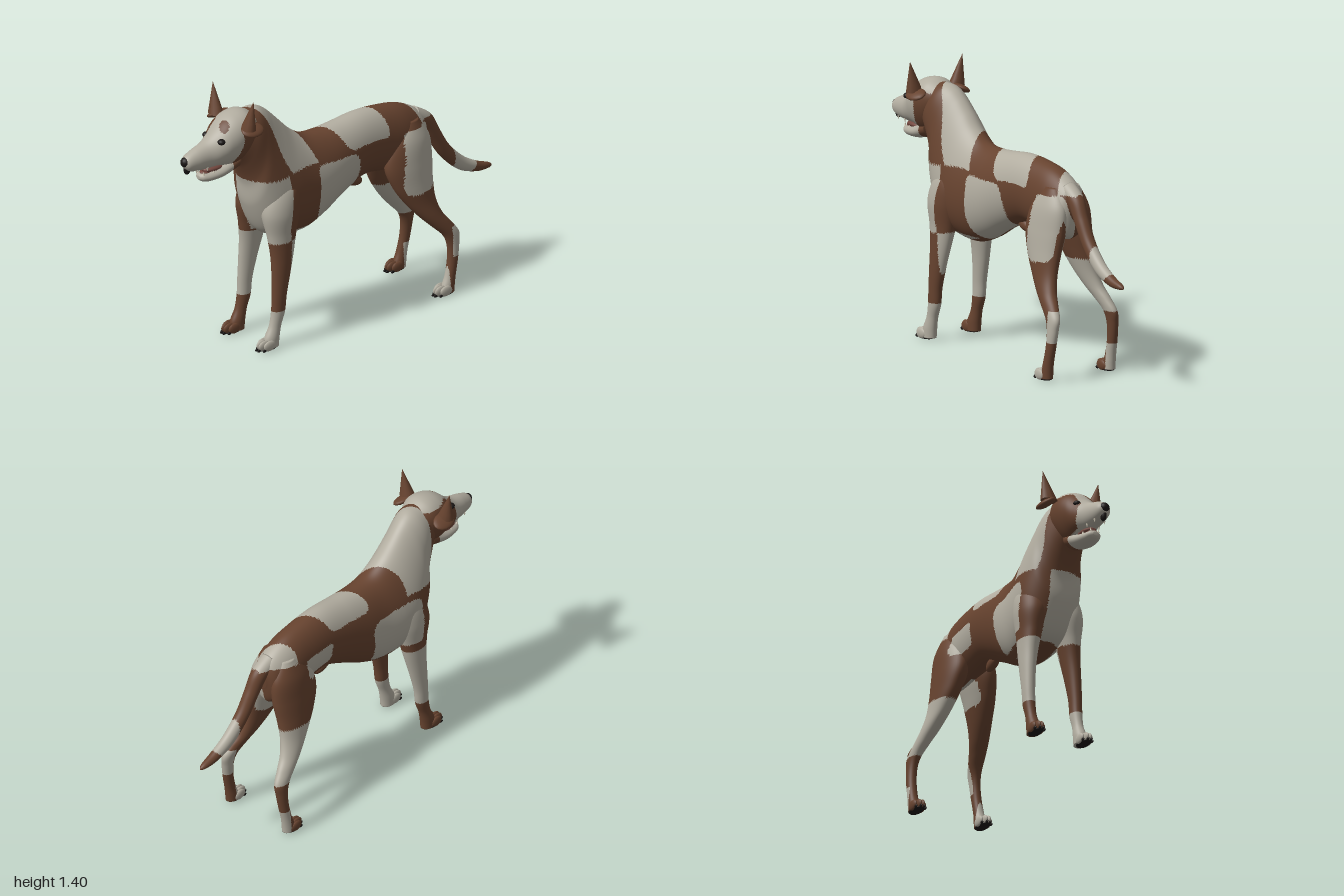
import * as THREE from 'three';

const mat = (name, color) => {
  const m = new THREE.MeshStandardMaterial({ color });
  m.name = name;
  return m;
};

// Smooth interpolation through a list of equal-length rows
function sampleRows(rows, t) {
  const f = t * (rows.length - 1), i = Math.min(Math.floor(f), rows.length - 2), u = f - i;
  const at = k => rows[Math.max(0, Math.min(rows.length - 1, k))];
  return rows[i].map((_, c) => {
    const [a, b, d, e] = [at(i - 1)[c], at(i)[c], at(i + 1)[c], at(i + 2)[c]];
    return b + 0.5 * u * (d - a + u * (2 * a - 5 * b + 4 * d - e + u * (3 * (b - d) + e - a)));
  });
}

// Loft of rings [x, y, z, halfWidth, halfY, halfZ, topTaper]; isBrown picks each face's coat colour
function loft(rows, steps, sides, isBrown) {
  const pos = [], lists = [[], []];
  for (let i = 0; i <= steps; i++) {
    const [x, y, z, w, hy, hz, taper = 0] = sampleRows(rows, i / steps);
    for (let j = 0; j < sides; j++) {
      const a = (j / sides) * Math.PI * 2, s = Math.sin(a), c = Math.cos(a);
      pos.push(x + w * s * (1 - taper * c), y + hy * c, z + hz * c);
    }
  }
  const first = pos.length / 3;
  pos.push(...rows[0].slice(0, 3), ...rows[rows.length - 1].slice(0, 3));
  const face = (...ids) => {
    const mid = k => ids.reduce((sum, id) => sum + pos[id * 3 + k], 0) / 3;
    lists[isBrown(mid(0), mid(1), mid(2)) ? 1 : 0].push(...ids);
  };
  for (let j = 0; j < sides; j++) {
    const n = (j + 1) % sides, end = steps * sides;
    for (let i = 0; i < steps; i++) {
      const a = i * sides + j, b = a + sides, c = i * sides + n, d = c + sides;
      face(a, b, c);
      face(b, d, c);
    }
    face(first, j, n);
    face(first + 1, end + n, end + j);
  }
  const g = new THREE.BufferGeometry();
  g.setAttribute('position', new THREE.Float32BufferAttribute(pos, 3));
  g.setIndex([...lists[0], ...lists[1]]);
  g.addGroup(0, lists[0].length, 0);
  g.addGroup(lists[0].length, lists[1].length, 1);
  g.computeVertexNormals();
  return g;
}

// Ring given by its top and bottom points in side profile
const ring = (zt, yt, zb, yb, w, x = 0, taper = 0) =>
  [x, (yt + yb) / 2, (zt + zb) / 2, w, (yt - yb) / 2, (zt - zb) / 2, taper];

// Round-cornered patch test
const patch = (u, v, u0, u1, v0, v1) =>
  Math.abs((2 * u - u0 - u1) / (u1 - u0)) ** 6 + Math.abs((2 * v - v0 - v1) / (v1 - v0)) ** 6 < 1;

// Patchwork of the coat on trunk, neck and legs
function coat(x, y, z) {
  const left = x > 0;
  const yy = y + 0.008 * Math.sin(14 * z + 6 * x);
  const zz = z + 0.01 * Math.sin(17 * y);
  const w = zz + 0.6 * x;
  if (yy > 0.915) {
    if (w > 0.47 + 0.27 * (y - 0.92)) return true;
    if (w > 0.27) return false;
    if (w > -0.23) return !patch(w, yy, -0.23, 0.07, left ? 0.91 : 0.95, 1.3);
    return w > -0.46 || w < -0.6;
  }
  if (yy > 0.57) {
    if (z > 0.45) return x < -0.07;
    if (left) {
      if (zz > 0.41) return false;
      const slant = zz - 0.12 * (y - 0.75);
      return !(patch(slant, yy, -0.075, 0.205, 0.57, 0.905) || patch(zz, yy, -0.55, -0.345, 0.585, 0.915));
    }
    return !(patch(zz, yy, 0.13, 0.46, 0.6, 0.88) || patch(zz, yy, -0.34, -0.15, 0.79, 0.91));
  }
  if (z > 0) {
    if (Math.abs(x) < 0.06) return true;
    if (left) return y > 0.2 && z > 0.41;
    return y < 0.2 || y > 0.56;
  }
  if (left) return y > 0.2 ? !(z < -0.6 && y < 0.36) : z < -0.575;
  return y < 0.32 && !(z < -0.585 && y < 0.15);
}

function headCoat(x, y, z) {
  if (x < -0.035) return y < 1.265 && z < 0.82 - 0.5 * Math.max(0, 1.12 - y);
  return (z < 0.7 + 0.02 * Math.sin(20 * y) && y < 1.24) || (y > 1.2 && Math.hypot((x - 0.05) / 0.03, (z - 0.755) / 0.022) < 1);
}

export function createModel() {
  const dog = new THREE.Group();
  dog.name = 'dog';
  const cream = mat('cream coat', 0xb2ada0), brown = mat('brown coat', 0x67432f);
  const black = mat('black', 0x1b1716), pink = mat('mouth pink', 0x74483f), ivory = mat('tooth ivory', 0xd8d0bc);
  const add = (name, geo, material, parent = dog) => {
    const m = new THREE.Mesh(geo, material);
    m.name = name;
    parent.add(m);
    return m;
  };
  const fur = (name, rows, steps, sides, rule) => add(name, loft(rows, steps, sides, rule), [cream, brown]);
  const ball = (name, material, p, r, parent) => {
    const m = add(name, new THREE.SphereGeometry(1, 16, 12), material, parent);
    m.position.set(...p);
    m.scale.set(...r);
    return m;
  };

  // Trunk and neck
  fur('trunkAndNeck', [
    ring(-0.57, 0.9, -0.56, 0.8, 0.03), ring(-0.53, 0.965, -0.53, 0.7, 0.08),
    ring(-0.42, 1.025, -0.42, 0.68, 0.105), ring(-0.3, 1.05, -0.28, 0.7, 0.108),
    ring(-0.15, 1.06, -0.15, 0.71, 0.112), ring(0, 1.045, 0, 0.645, 0.125),
    ring(0.12, 1.037, 0.12, 0.58, 0.138, 0, 0.05), ring(0.22, 1.05, 0.25, 0.535, 0.147, 0, 0.1),
    ring(0.3, 1.1, 0.4, 0.55, 0.158, -0.003, 0.2), ring(0.37, 1.17, 0.5, 0.6, 0.156, -0.006, 0.22),
    ring(0.43, 1.23, 0.57, 0.75, 0.138, -0.004, 0.2), ring(0.48, 1.27, 0.59, 0.88, 0.12, 0, 0.12),
    ring(0.53, 1.29, 0.63, 0.98, 0.108, 0.005, 0.05), ring(0.6, 1.29, 0.67, 1.04, 0.09, 0.01),
  ], 170, 120, coat);
  ball('sheath', brown, [0, 0.69, -0.12], [0.025, 0.03, 0.06]).rotation.x = -0.35;

  // Head with upper muzzle, and the slightly open lower jaw
  const hx = 0.012;
  fur('head', [
    ring(0.55, 1.27, 0.6, 1.08, 0.08, hx, -0.1), ring(0.62, 1.305, 0.63, 1.04, 0.105, hx, -0.18),
    ring(0.69, 1.3, 0.69, 1.02, 0.108, hx, -0.18), ring(0.75, 1.27, 0.74, 1.03, 0.098, hx, -0.12),
    ring(0.8, 1.22, 0.79, 1.042, 0.08, hx), ring(0.85, 1.185, 0.85, 1.042, 0.06, hx),
    ring(0.92, 1.162, 0.92, 1.047, 0.048, hx), ring(0.97, 1.14, 0.965, 1.06, 0.037, hx),
    ring(0.988, 1.12, 0.985, 1.08, 0.02, hx),
  ], 80, 72, headCoat);
  fur('lowerJaw', [
    ring(0.66, 1.09, 0.66, 1.0, 0.06, hx), ring(0.76, 1.045, 0.76, 0.974, 0.058, hx),
    ring(0.84, 1.026, 0.84, 0.97, 0.046, hx), ring(0.875, 1.022, 0.875, 0.978, 0.034, hx),
    ring(0.89, 1.01, 0.89, 0.99, 0.015, hx),
  ], 30, 36, (x, y, z) => z < 0.71);
  ball('mouthLining', pink, [hx, 1.035, 0.8], [0.04, 0.018, 0.07]);
  ball('tongue', pink, [hx, 1.023, 0.835], [0.026, 0.009, 0.045]);
  ball('nose', black, [hx, 1.108, 0.972], [0.027, 0.027, 0.028]);
  ball('noseCrease', black, [hx, 1.072, 0.964], [0.016, 0.034, 0.02]);

  for (const s of [1, -1]) {
    const side = s > 0 ? 'left' : 'right';

    // Eyes and teeth
    ball(side + 'Eye', black, [hx + 0.006 + s * 0.06, 1.19, 0.795], [0.02, 0.015, 0.02]);
    for (const [z, x, y, up] of [[0.925, 0.028, 1.05, -1], [0.86, 0.034, 1.047, -1], [0.875, 0.022, 1.026, 1], [0.82, 0.034, 1.03, 1]]) {
      const tooth = add(side + 'Tooth', new THREE.ConeGeometry(0.006, 0.022, 8), ivory);
      tooth.position.set(hx + s * x, y, z);
      if (up < 0) tooth.rotation.x = Math.PI;
    }

    // Upright pointed ear with a folded flap around its base
    const ear = new THREE.Group();
    ear.name = side + 'Ear';
    dog.add(ear);
    const point = new THREE.ConeGeometry(0.046, 0.16, 12, 4);
    const p = point.attributes.position;
    for (let i = 0; i < p.count; i++) {
      const h = p.getY(i) / 0.16 + 0.5;
      p.setXYZ(i, 0.127 * s + p.getX(i) + s * 0.033 * h, 1.24 + 0.16 * h, 0.662 + p.getZ(i) * 0.8 - 0.007 * h);
    }
    point.computeVertexNormals();
    add(side + 'EarPoint', point, brown, ear);
    ball(side + 'EarFlap', brown, [s * 0.135, 1.232, 0.64], [0.046, 0.018, 0.066], ear).rotation.z = -s * 0.5;

    // Foreleg, from shoulder to paw
    const leg = rows => rows.map(([x, y, z, rx, rz]) => [s * x, y, z, rx, 0, rz]);
    fur(side + 'Foreleg', leg([
      [0.06, 0.92, 0.39, 0.045, 0.07], [0.086, 0.83, 0.41, 0.075, 0.1], [0.1, 0.72, 0.43, 0.08, 0.11],
      [0.112, 0.6, 0.435, 0.058, 0.085], [0.122, 0.5, 0.44, 0.046, 0.068], [0.13, 0.4, 0.452, 0.038, 0.055],
      [0.135, 0.28, 0.468, 0.032, 0.042], [0.135, 0.19, 0.476, 0.03, 0.039], [0.135, 0.12, 0.495, 0.027, 0.034],
      [0.135, 0.06, 0.515, 0.032, 0.042], [0.135, 0.012, 0.52, 0.032, 0.042],
    ]), 100, 48, coat);

    // Hind leg, from haunch through the hock to paw
    fur(side + 'HindLeg', leg([
      [0.05, 0.95, -0.44, 0.04, 0.05], [0.066, 0.85, -0.425, 0.065, 0.125], [0.079, 0.73, -0.412, 0.07, 0.145],
      [0.099, 0.62, -0.425, 0.06, 0.122], [0.12, 0.52, -0.458, 0.049, 0.09], [0.142, 0.44, -0.505, 0.042, 0.068],
      [0.16, 0.38, -0.557, 0.035, 0.06], [0.175, 0.32, -0.607, 0.029, 0.05], [0.182, 0.26, -0.617, 0.026, 0.036],
      [0.187, 0.18, -0.61, 0.025, 0.03], [0.19, 0.1, -0.593, 0.026, 0.03], [0.19, 0.05, -0.58, 0.029, 0.036],
      [0.19, 0.012, -0.573, 0.03, 0.04],
    ]), 100, 48, coat);

    // Paws: four toes, claws and a dark sole
    const toeFur = s > 0 ? cream : brown;
    for (const [name, x, z] of [['ForePaw', 0.138, 0.565], ['HindPaw', 0.19, -0.535]]) {
      const paw = new THREE.Group();
      paw.name = side + name;
      paw.position.set(s * x, 0, z);
      dog.add(paw);
      for (let k = 0; k < 4; k++) {
        const o = k - 1.5, dz = Math.abs(o) > 1 ? -0.012 : 0.008;
        ball('toe', toeFur, [o * 0.017, 0.03, dz], [0.012, 0.027, 0.038], paw);
        ball('claw', black, [o * 0.018, 0.012, dz + 0.034], [0.005, 0.008, 0.012], paw);
      }
      ball('sole', black, [0, 0.009, -0.018], [0.031, 0.009, 0.055], paw);
    }
  }

  // Tail, from tip to root
  fur('tail', [
    [0.02, 0.525, -1, 0.003, 0.004, 0], [0.02, 0.53, -0.975, 0.017, 0.015, -0.003], [0.02, 0.546, -0.9, 0.026, 0.026, -0.008],
    [0.018, 0.594, -0.8, 0.031, 0.031, -0.018], [0.015, 0.69, -0.7, 0.034, 0.026, -0.026], [0.012, 0.8, -0.63, 0.037, 0.018, -0.035],
    [0.008, 0.89, -0.575, 0.042, 0.028, -0.036], [0.004, 0.94, -0.5, 0.045, 0.04, -0.02],
  ], 90, 40, (x, y, z) => {
    if (z > -0.6) return y < 0.92;
    return z > -0.745 || z < -0.88 + (0.56 - y);
  });
  return dog;
}
